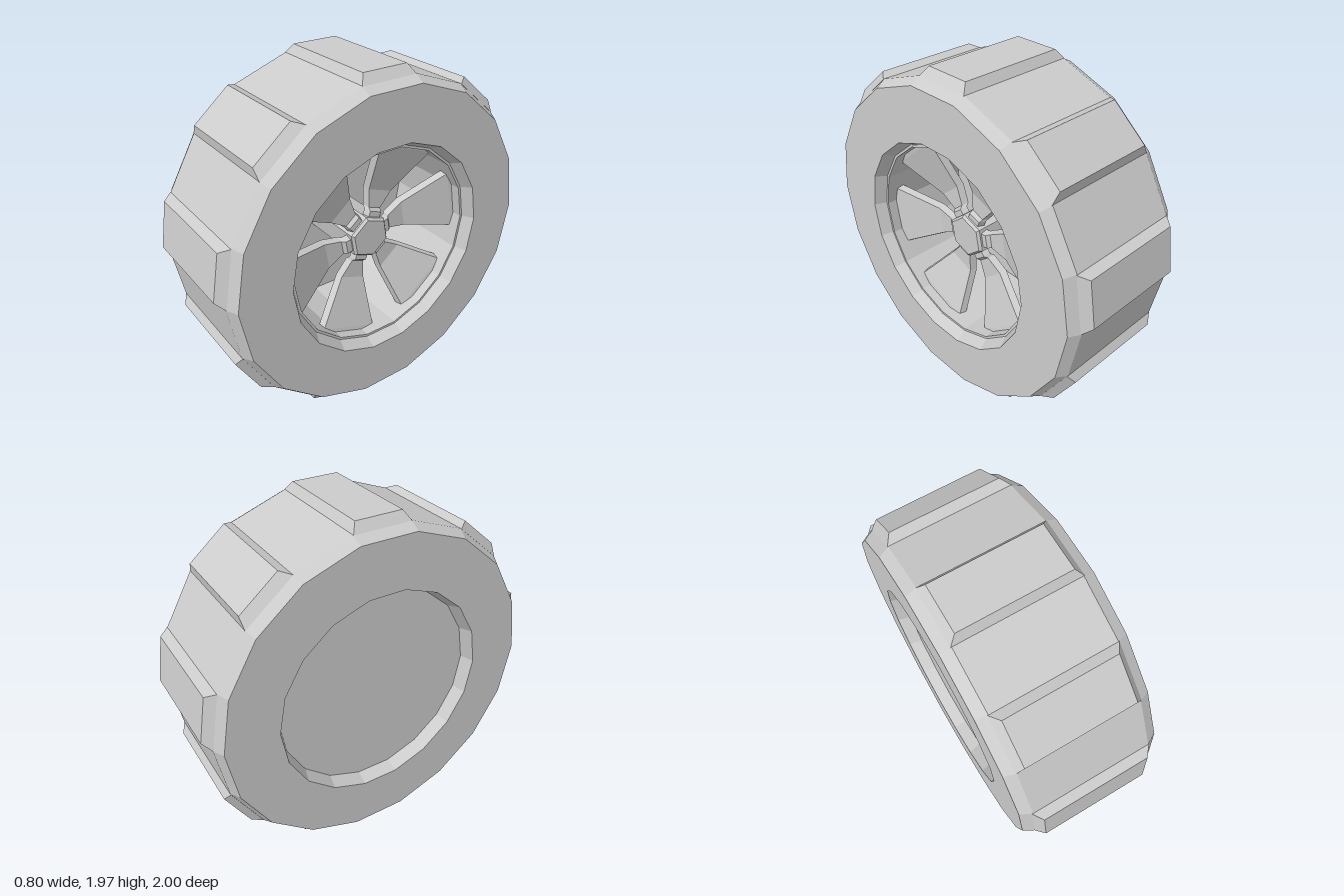
import * as THREE from 'three';

const SIDES = 18;
const CENTER_Y = 0.978;
const DEG = Math.PI / 180;
const material = new THREE.MeshStandardMaterial({ color: 0xcccccc, flatShading: true });

// Turns a [flat radius, x] profile around the x axis; radii are measured to the flats.
function turned(name, profile, sides) {
  const k = 1 / Math.cos(Math.PI / sides);
  const points = profile.map(([r, x]) => new THREE.Vector2(r * k, x));
  const mesh = new THREE.Mesh(new THREE.LatheGeometry(points, sides).rotateZ(-Math.PI / 2), material);
  mesh.name = name;
  return mesh;
}

// Repeats a part that points along +y around the x axis.
function ring(name, geometry, count, startDegrees) {
  const group = new THREE.Group();
  group.name = name + 's';
  for (let i = 0; i < count; i++) {
    const mesh = new THREE.Mesh(geometry, material);
    mesh.name = name;
    mesh.rotation.x = startDegrees * DEG + (i / count) * Math.PI * 2;
    group.add(mesh);
  }
  return group;
}

// Tread block: a box whose outer face is smaller than its base.
function lugGeometry() {
  const geometry = new THREE.BoxGeometry(2, 1, 2);
  const p = geometry.attributes.position;
  for (let i = 0; i < p.count; i++) {
    const outer = p.getY(i) > 0;
    p.setXYZ(i,
      p.getX(i) * (outer ? 0.305 : 0.345),
      outer ? 0.992 : 0.942,
      p.getZ(i) * (outer ? 0.134 : 0.165));
  }
  return geometry;
}

// Fan-shaped spoke: raised stub at the hub, flat root, then dished out into the rim.
function spokeGeometry() {
  // radius, half width, x of the front face
  const stations = [
    [0.08, 0.04, 0.195], [0.148, 0.04, 0.195], [0.165, 0.042, 0.175], [0.27, 0.081, 0.175],
    [0.545, 0.183, 0.272], [0.58, 0.13, 0.28],
  ];
  const n = stations.length - 1;
  const geometry = new THREE.BoxGeometry(2, n, 2, 1, n, 1);
  const p = geometry.attributes.position;
  for (let i = 0; i < p.count; i++) {
    const [r, w, x] = stations[Math.round(p.getY(i) + n / 2)];
    const front = p.getX(i) > 0;
    p.setXYZ(i, front ? x : x - 0.04, r, Math.sign(p.getZ(i)) * (front ? w : w + 0.012));
  }
  return geometry;
}

export function createModel() {
  const model = new THREE.Group();
  model.name = 'wheel';
  const wheel = new THREE.Group();
  wheel.name = 'wheelAssembly';
  wheel.position.y = CENTER_Y;
  model.add(wheel);

  // Tyre with chamfered shoulders and tapered openings
  wheel.add(turned('tyre', [
    [0.585, -0.325], [0.612, -0.402], [0.91, -0.402], [0.943, -0.34],
    [0.943, 0.34], [0.91, 0.402], [0.612, 0.402], [0.58, 0.335],
  ], SIDES));

  // Rim barrel with a lip at the front and a closed back
  wheel.add(turned('rim', [
    [0, -0.325], [0.597, -0.325], [0.597, 0.335], [0.566, 0.335], [0.562, -0.22], [0, -0.22],
  ], SIDES));

  wheel.add(ring('treadLug', lugGeometry(), 9, 0));
  wheel.add(ring('spoke', spokeGeometry(), 6, -80));

  // Hexagonal hub with a bevelled cap
  const hub = turned('hub', [
    [0.115, -0.23], [0.115, 0.205], [0.103, 0.22], [0, 0.22],
  ], 6);
  hub.rotation.x = 40 * DEG;
  wheel.add(hub);

  return model;
}
